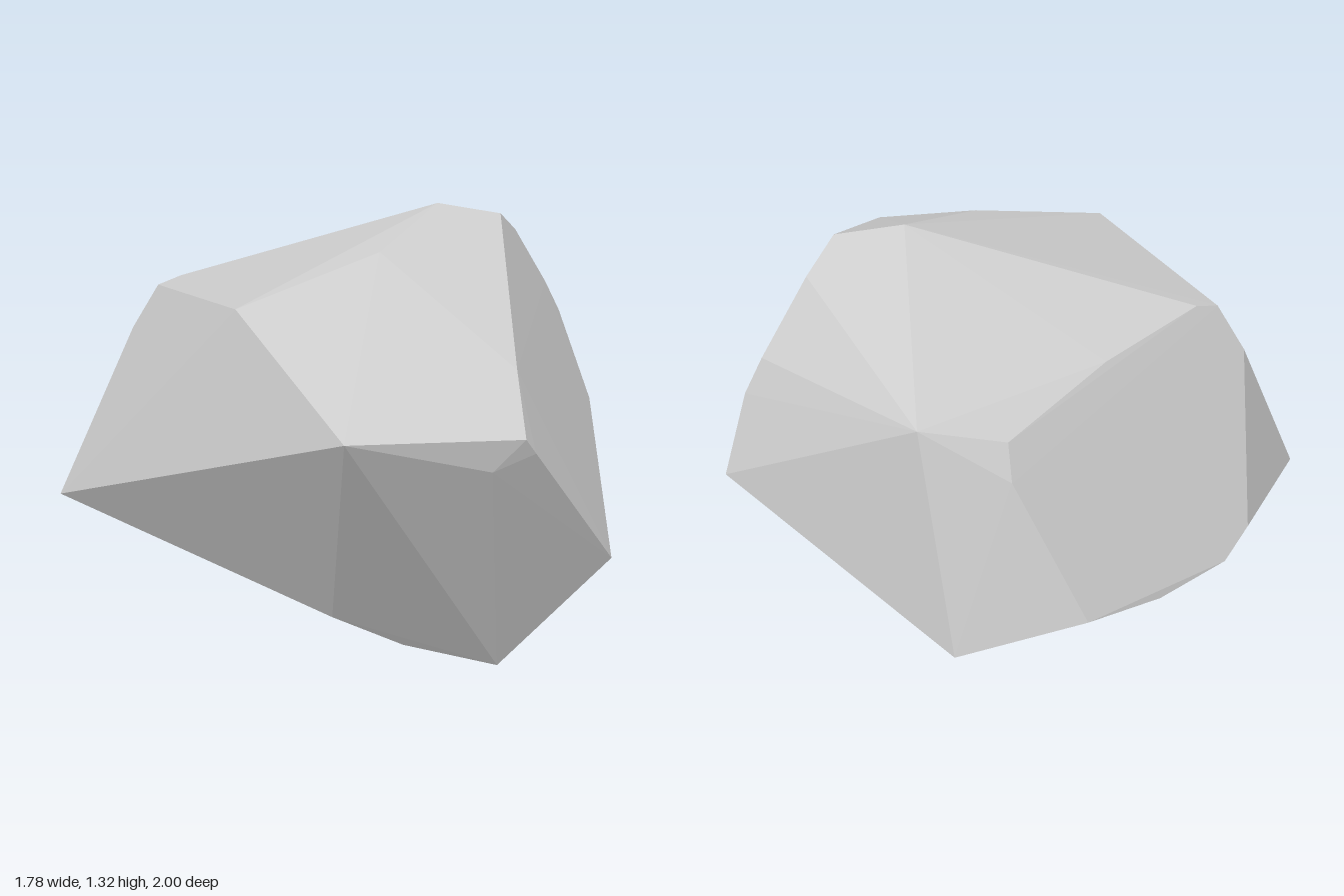
import * as THREE from 'three';
import { ConvexGeometry } from 'three/addons/geometries/ConvexGeometry.js';

// Corners of the chipped boulder, grouped by region
const crown = [
  [0.35, 1.315, -0.22], [0.555, 1.283, -0.215], [0.16, 1.22, 0.15], [-0.25, 1.105, 0.43],
  [-0.57, 1.045, -0.19], [-0.5, 1.067, -0.24], [-0.22, 1.025, -0.515], [0.62, 1.21, -0.35],
];
const front = [
  [0.07, 0.895, 1.0], [0.525, 0.89, 0.925], [0.525, 1.0, 0.67], [0.445, 0.8, 0.92], [0.555, 0.845, 0.9],
];
const sides = [
  [-0.89, 0.38, 0.02], [-0.66, 0.9, -0.19], [0.82, 0.44, 0.625], [0.886, 0.65, -0.245],
  [0.867, 0.675, -0.54], [0.745, 1.01, -0.46], [0.8, 0.905, -0.475],
];
const back = [
  [0.28, 1.005, -0.865], [0.05, 0.94, -0.81], [0.04, 0.845, -0.858], [0.195, 0.385, -1.0],
  [-0.165, 0.43, -0.91], [-0.38, 0.378, -0.735], [-0.59, 0.377, -0.555], [-0.67, 0.43, -0.45],
];
const base = [
  [0.03, 0, -0.38], [0.52, 0.055, 0.55], [0.53, 0.115, 0.2],
  [0.24, 0.115, 0.545], [0.03, 0.22, 0.58], [-0.69, 0.23, -0.195],
];

export function createModel() {
  const group = new THREE.Group();
  group.name = 'rock';
  const stone = new THREE.MeshStandardMaterial({ color: 0xcccccc });
  stone.name = 'light grey stone';

  // Faceted convex hull with flat face normals
  const corners = [...crown, ...front, ...sides, ...back, ...base].map((p) => new THREE.Vector3(...p));
  const boulder = new THREE.Mesh(new ConvexGeometry(corners), stone);
  boulder.name = 'boulder';
  group.add(boulder);
  return group;
}
